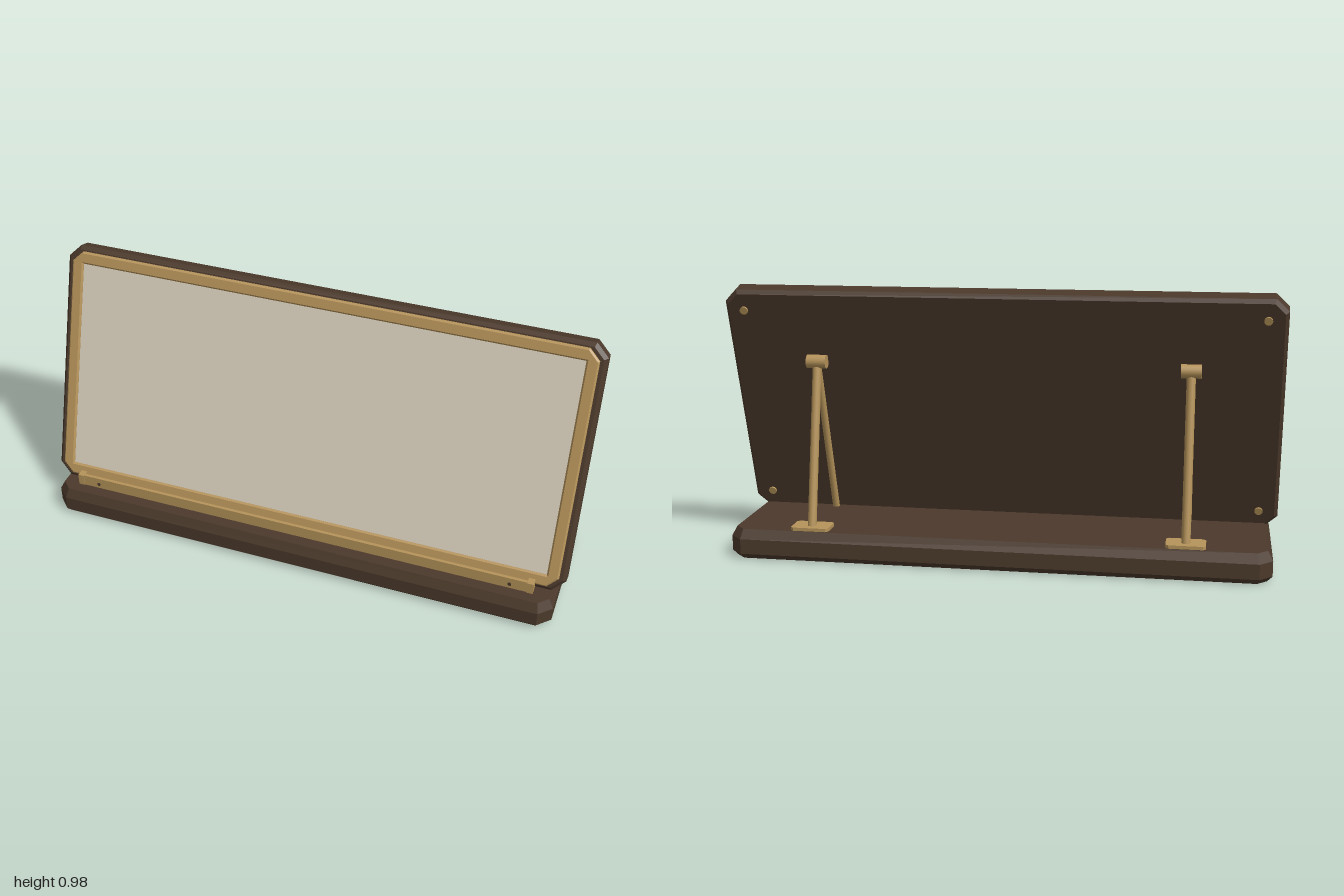
import * as THREE from 'three';

const wood = new THREE.MeshStandardMaterial({ name: 'dark wood', color: 0x4b392b });
const brass = new THREE.MeshStandardMaterial({ name: 'brass', color: 0xb5935a });
const cream = new THREE.MeshStandardMaterial({ name: 'cream pane', color: 0xd8cfbd });

const TILT = THREE.MathUtils.degToRad(18);

// Corner-cut rectangle as [u, v] points
function octagon(w, d, c) {
  return [[w, d - c], [w - c, d], [c - w, d], [-w, d - c], [-w, c - d], [c - w, -d], [w - c, -d], [w, c - d]];
}

// Slab with cut corners and bevels; levels are [height, inset] from the bottom up
function slab(halfW, halfD, cut, levels) {
  const rings = levels.map(([y, inset]) =>
    octagon(halfW - inset, halfD - inset, cut - inset * 0.58).map(([x, z]) => [x, y, z]));
  const pos = [];
  const tri = (a, b, c) => pos.push(...a, ...b, ...c);
  for (let k = 0; k < rings.length - 1; k++) {
    for (let i = 0; i < 8; i++) {
      const j = (i + 1) % 8;
      const lo = rings[k], hi = rings[k + 1];
      tri(lo[i], hi[i], lo[j]);
      tri(lo[j], hi[i], hi[j]);
    }
  }
  const bottom = rings[0], top = rings[rings.length - 1];
  for (let i = 1; i < 7; i++) {
    tri(bottom[0], bottom[i], bottom[i + 1]);
    tri(top[0], top[i + 1], top[i]);
  }
  const geo = new THREE.BufferGeometry();
  geo.setAttribute('position', new THREE.Float32BufferAttribute(pos, 3));
  geo.computeVertexNormals();
  return geo;
}

function add(parent, name, geo, mat, x = 0, y = 0, z = 0) {
  const mesh = new THREE.Mesh(geo, mat);
  mesh.name = name;
  mesh.position.set(x, y, z);
  parent.add(mesh);
  return mesh;
}

// Round rod between two points
function rod(parent, name, from, to, radius) {
  const a = new THREE.Vector3(...from), b = new THREE.Vector3(...to);
  const dir = b.clone().sub(a);
  const mesh = add(parent, name, new THREE.CylinderGeometry(radius, radius, dir.length(), 16), brass);
  mesh.position.copy(a).add(b).multiplyScalar(0.5);
  mesh.quaternion.setFromUnitVectors(new THREE.Vector3(0, 1, 0), dir.normalize());
  return mesh;
}

export function createModel() {
  const model = new THREE.Group();
  model.name = 'tiltedDisplayStand';

  add(model, 'base', slab(0.975, 0.28, 0.046, [[0, 0.018], [0.02, 0], [0.075, 0], [0.11, 0.018]]), wood);

  // Leaning panel; local z is the panel normal
  const panel = new THREE.Group();
  panel.name = 'panel';
  panel.position.set(0, 0.54, 0.015);
  panel.rotation.x = -TILT;
  model.add(panel);

  const board = slab(1, 0.46, 0.046, [[-0.038, 0.013], [-0.024, 0], [0.024, 0], [0.038, 0.013]]);
  board.rotateX(Math.PI / 2);
  add(panel, 'backBoard', board, wood);

  // Bevelled trim with a rectangular opening
  const b = 0.006;
  const outline = octagon(0.975 - b, 0.442 - b, 0.036).map(([x, y]) => new THREE.Vector2(x, y));
  const shape = new THREE.Shape(outline);
  const hole = [[-1, -1], [-1, 1], [1, 1], [1, -1]].map(([x, y]) => new THREE.Vector2(x * (0.931 + b), y * (0.397 + b)));
  shape.holes.push(new THREE.Path(hole));
  const trim = new THREE.ExtrudeGeometry(shape, { depth: 0.006, bevelEnabled: true, bevelSize: b, bevelThickness: b, bevelSegments: 1 });
  add(panel, 'trim', trim, brass, 0, 0, 0.038);

  add(panel, 'pane', new THREE.BoxGeometry(1.87, 0.802, 0.006), cream, 0, 0, 0.039);

  // Screws in the rear corners
  for (const sx of [-1, 1]) {
    for (const sy of [-1, 1]) {
      const screw = add(panel, 'screw', new THREE.CylinderGeometry(0.015, 0.015, 0.01, 12), brass, sx * 0.93, sy * 0.385, -0.04);
      screw.rotation.x = Math.PI / 2;
    }
  }

  // Ledge holding the lower edge of the panel
  add(model, 'ledge', new THREE.BoxGeometry(1.79, 0.032, 0.036), brass, 0, 0.124, 0.202);
  add(model, 'ledgeLip', new THREE.BoxGeometry(1.75, 0.018, 0.012), brass, 0, 0.146, 0.214);

  for (const s of [-1, 1]) {
    add(model, 'ledgeStop', new THREE.BoxGeometry(0.024, 0.047, 0.038), brass, s * 0.884, 0.131, 0.204);
    const pin = add(model, 'ledgePin', new THREE.CylinderGeometry(0.007, 0.007, 0.006, 10), wood, s * 0.81, 0.129, 0.22);
    pin.rotation.x = Math.PI / 2;

    // Folding strut behind the panel
    const strut = new THREE.Group();
    strut.name = 'strut';
    model.add(strut);
    const x = s * 0.675;
    rod(strut, 'hinge', [x - 0.036, 0.707, -0.1], [x + 0.036, 0.707, -0.1], 0.025);
    rod(strut, 'rearLeg', [x, 0.7, -0.1], [x, 0.112, -0.218], 0.016);
    rod(strut, 'frontLeg', [x, 0.7, -0.096], [x, 0.105, 0.096], 0.013);
    add(strut, 'footPlate', slab(0.07, 0.046, 0.01, [[0.108, 0], [0.122, 0]]), brass, x, 0, -0.212);
  }
  return model;
}
